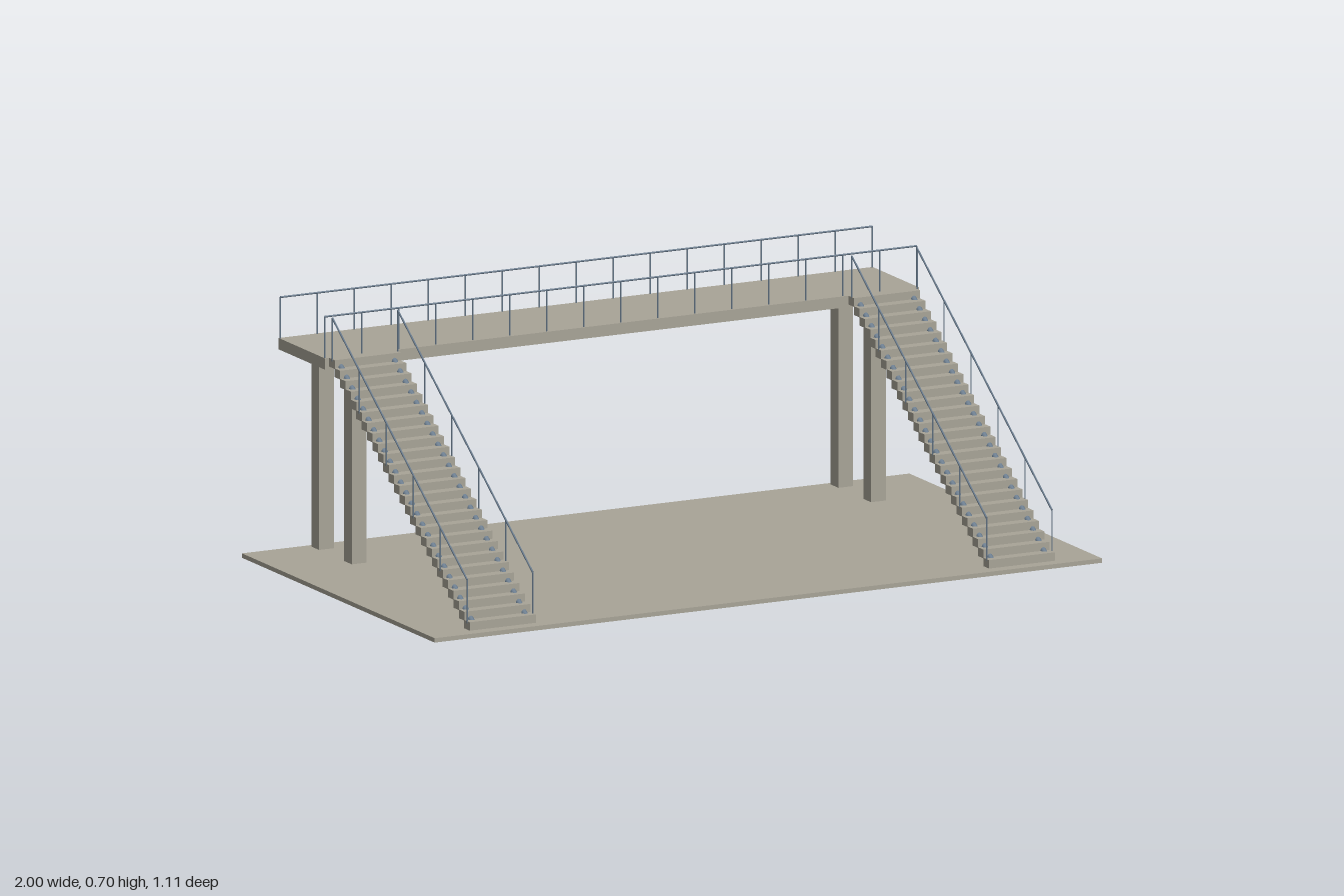
import * as THREE from 'three';

const concrete = new THREE.MeshStandardMaterial({ color: 0xa8a497 });
concrete.name = 'concrete';
const steel = new THREE.MeshStandardMaterial({ color: 0x66788a });
steel.name = 'slateSteel';

const DECK_TOP = 0.588, DECK_BOTTOM = 0.557, BASE_TOP = 0.012;
const RAIL_TOP = 0.7;
const STAIR_X = 0.778;

function addBox(parent, name, size, pos) {
  const mesh = new THREE.Mesh(new THREE.BoxGeometry(...size), concrete);
  mesh.name = name;
  mesh.position.set(...pos);
  parent.add(mesh);
}

// Round steel bar between two points
function addBar(parent, name, a, b, radius, sides = 8) {
  const from = new THREE.Vector3(...a);
  const dir = new THREE.Vector3(...b).sub(from);
  const mesh = new THREE.Mesh(new THREE.CylinderGeometry(radius, radius, dir.length(), sides), steel);
  mesh.name = name;
  mesh.position.copy(from).addScaledVector(dir, 0.5);
  mesh.quaternion.setFromUnitVectors(new THREE.Vector3(0, 1, 0), dir.normalize());
  parent.add(mesh);
}

// Handrail with evenly spaced posts; a and b are the ends of the foot line
function addRailing(parent, name, a, b, height, intervals) {
  const railing = new THREE.Group();
  railing.name = name;
  const lift = (p) => [p[0], p[1] + height, p[2]];
  addBar(railing, 'handrail', lift(a), lift(b), 0.0026);
  for (let i = 0; i <= intervals; i++) {
    const p = a.map((v, k) => v + (b[k] - v) * i / intervals);
    addBar(railing, 'railPost', p, lift(p), 0.002);
  }
  parent.add(railing);
}

// Flight of block steps on two round stringers, railed on both sides
function makeStair(x) {
  const stair = new THREE.Group();
  stair.name = 'staircase';
  const bottom = [0.504, 0.023], top = [-0.272, 0.576], count = 26;
  for (let i = 0; i < count; i++) {
    const t = i / (count - 1);
    const z = bottom[0] + (top[0] - bottom[0]) * t;
    const y = bottom[1] + (top[1] - bottom[1]) * t;
    addBox(stair, 'step', [0.198, 0.024, 0.032], [x, y, z]);
  }
  for (const side of [-1, 1]) {
    const sx = x + side * 0.08, rx = x + side * 0.098;
    addBar(stair, 'stringer', [sx, bottom[1], bottom[0]], [sx, top[1], top[0]], 0.009, 12);
    addRailing(stair, 'stairRailing',
      [rx, bottom[1] + 0.006, bottom[0]], [rx, top[1] + 0.006, top[0]], 0.118, 5);
  }
  return stair;
}

export function createModel() {
  const model = new THREE.Group();
  model.name = 'footbridge';

  // Ground slab and bridge deck
  addBox(model, 'baseSlab', [2, BASE_TOP, 1.108], [0, BASE_TOP / 2, 0]);
  addBox(model, 'deck', [1.78, DECK_TOP - DECK_BOTTOM, 0.266],
    [0, (DECK_TOP + DECK_BOTTOM) / 2, -0.421]);

  // Columns and stairs at both ends
  for (const side of [-1, 1]) {
    for (const z of [-0.328, -0.516]) {
      addBox(model, 'column', [0.044, DECK_BOTTOM - BASE_TOP, 0.044],
        [side * STAIR_X, (DECK_BOTTOM + BASE_TOP) / 2, z]);
    }
    model.add(makeStair(side * STAIR_X));
  }

  // Deck railings, front and back
  for (const z of [-0.295, -0.55]) {
    addRailing(model, 'deckRailing', [-0.887, DECK_TOP, z], [0.887, DECK_TOP, z],
      RAIL_TOP - DECK_TOP, 16);
  }
  return model;
}
